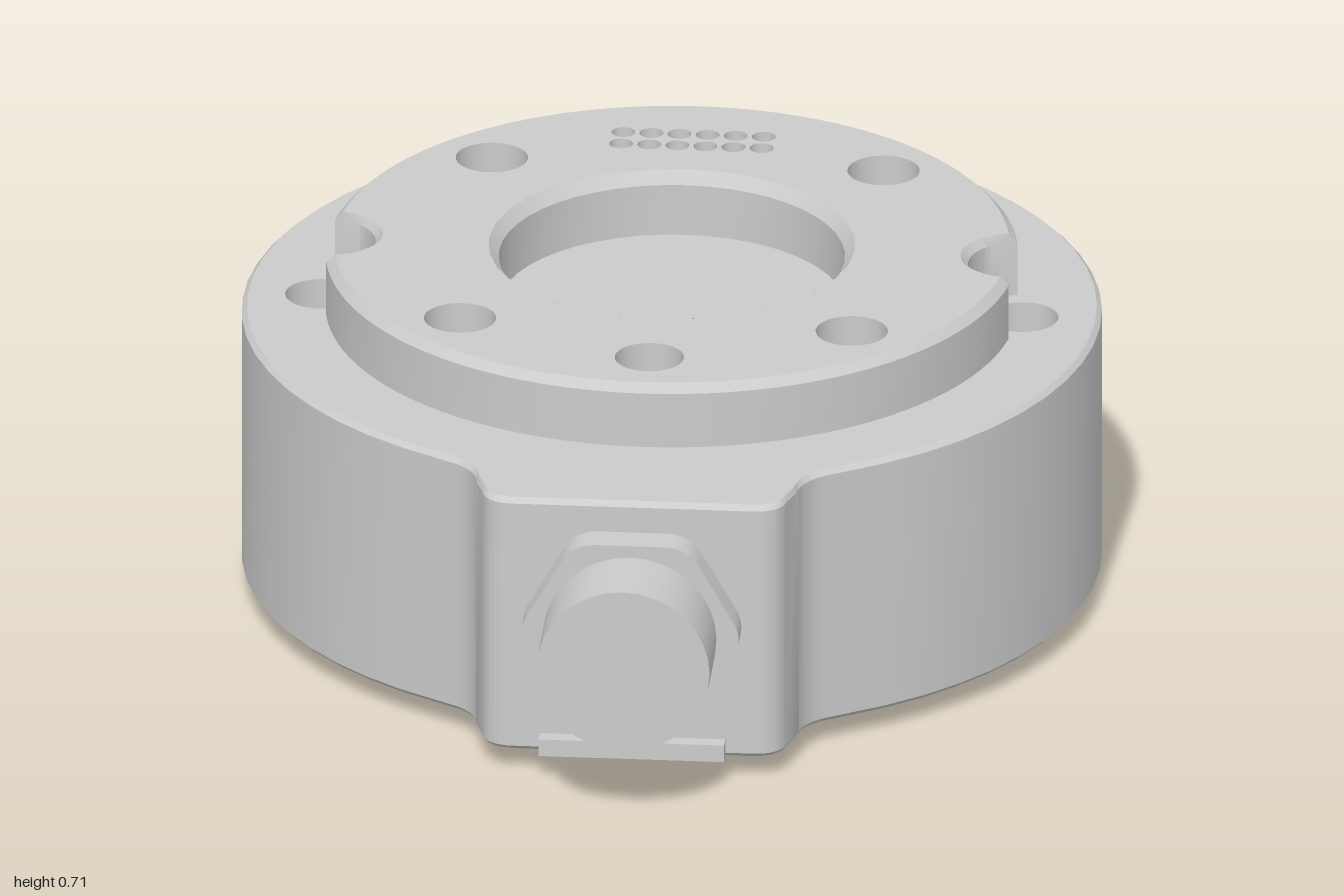
import * as THREE from 'three';
import { toCreasedNormals } from 'three/addons/utils/BufferGeometryUtils.js';

const mat = new THREE.MeshStandardMaterial({ color: 0xcccccc });
const openMat = new THREE.MeshStandardMaterial({ color: 0xcccccc, side: THREE.DoubleSide });
const rad = THREE.MathUtils.degToRad;

export function createModel() {
  const model = new THREE.Group();
  const core = new THREE.Group(); // round parts share one axis
  core.name = 'sensorBody';
  core.position.z = -0.165;
  model.add(core);

  const add = (parent, name, geo, x = 0, y = 0, z = 0, material = mat) => {
    const mesh = new THREE.Mesh(geo, material);
    mesh.name = name;
    mesh.position.set(x, y, z);
    parent.add(mesh);
    return mesh;
  };

  // Wall through scaled copies of an outline; levels are [height, scale]
  function wall(pts, levels) {
    const pos = [], idx = [], n = pts.length;
    for (const [y, s] of levels) for (const p of pts) pos.push(p.x * s, y, -p.y * s);
    for (let l = 0; l < levels.length - 1; l++) {
      for (let i = 0; i < n; i++) {
        const a = l * n + i, b = l * n + (i + 1) % n;
        idx.push(a, b, b + n, a, b + n, a + n);
      }
    }
    const geo = new THREE.BufferGeometry();
    geo.setAttribute('position', new THREE.Float32BufferAttribute(pos, 3));
    geo.setIndex(idx);
    return toCreasedNormals(geo, 0.5);
  }

  // Flat cap with round holes [x, z, radius]
  function cap(pts, s, holes, up = true) {
    const shape = new THREE.Shape(pts.map(p => p.clone().multiplyScalar(s)));
    for (const [x, z, r] of holes) {
      shape.holes.push(new THREE.Path().absarc(x, -z, r, 0, Math.PI * 2, true));
    }
    const geo = new THREE.ShapeGeometry(shape, 16).rotateX(-Math.PI / 2);
    return up ? geo : geo.scale(1, 1, -1).rotateX(Math.PI).scale(1, 1, 1);
  }

  // Blind hole: side wall and floor
  function well(name, x, z, r, top, depth) {
    add(core, name + 'Wall', new THREE.CylinderGeometry(r, r, depth, 32, 1, true), x, top - depth / 2, z, openMat);
    add(core, name + 'Floor', new THREE.CircleGeometry(r, 32).rotateX(-Math.PI / 2), x, top - depth, z);
  }

  function outline(shape) {
    const pts = shape.getPoints(24);
    if (pts[0].distanceTo(pts[pts.length - 1]) < 1e-4) pts.pop();
    return pts;
  }

  // Housing: round with a necked block at the front
  const housing = new THREE.Shape();
  housing.absarc(0, 0, 0.832, rad(-55.6), rad(235.6), false);
  housing.lineTo(-0.36, -0.755);
  housing.quadraticCurveTo(-0.315, -0.785, -0.31, -0.84);
  housing.lineTo(-0.295, -0.885);
  housing.quadraticCurveTo(-0.285, -0.935, -0.23, -0.935);
  housing.lineTo(0.23, -0.935);
  housing.quadraticCurveTo(0.285, -0.935, 0.295, -0.885);
  housing.lineTo(0.31, -0.84);
  housing.quadraticCurveTo(0.315, -0.785, 0.36, -0.755);
  const body = outline(housing);
  const sideHoles = [[-0.68, 0, 0.07], [0.68, 0, 0.07]];
  add(core, 'housingWall', wall(body, [[0.047, 0.988], [0.057, 1], [0.57, 1], [0.58, 0.988]]));
  add(core, 'housingTop', cap(body, 0.988, sideHoles), 0, 0.58);
  // The outline is symmetric in x, so a half turn about z flips it downward
  add(core, 'housingBottom', cap(body, 0.988, []).rotateZ(Math.PI), 0, 0.047);
  for (const [x, z, r] of sideHoles) well('sideHole', x, z, r, 0.58, 0.12);

  // Raised flange with a notch at each side
  const flange = new THREE.Shape();
  flange.absarc(0, 0, 0.67, rad(8.85), rad(171.15), false);
  flange.absarc(-0.68, 0, 0.105, rad(80), rad(-80), true);
  flange.absarc(0, 0, 0.67, rad(188.85), rad(351.15), false);
  flange.absarc(0.68, 0, 0.105, rad(260), rad(100), true);
  const ring = outline(flange);
  const holes = [[0, 0.535, 0.067]];
  for (const x of [-0.38, 0.38]) for (const z of [-0.38, 0.38]) holes.push([x, z, 0.07]);
  const pins = [];
  for (let i = 0; i < 6; i++) {
    for (const z of [-0.52, -0.466]) pins.push([(i - 2.5) * 0.0545, z, 0.023]);
  }
  add(core, 'flangeWall', wall(ring, [[0.58, 1], [0.693, 1], [0.71, 0.975]]));
  add(core, 'flangeTop', cap(ring, 0.975, [[0, 0, 0.355], ...holes, ...pins]), 0, 0.71);
  for (const [x, z, r] of holes) well('screwHole', x, z, r, 0.71, 0.18);
  for (const [x, z, r] of pins) well('pinHole', x, z, r, 0.71, 0.08);

  // Central recess with chamfered rim; the housing top is its floor
  const bore = [[0.335, 0.58], [0.335, 0.685], [0.355, 0.71]].map(p => new THREE.Vector2(...p));
  add(core, 'bore', toCreasedNormals(new THREE.LatheGeometry(bore, 48), 0.5), 0, 0, 0, openMat);

  // Load button underneath
  add(core, 'bottomBoss', new THREE.CylinderGeometry(0.393, 0.393, 0.06, 48), 0, 0.03, 0);

  // Cable connector: rounded hex nut and round plug
  const connector = new THREE.Group();
  connector.name = 'connector';
  connector.position.y = 0.325;
  model.add(connector);
  const corner = i => new THREE.Vector2(Math.cos(i * Math.PI / 3), Math.sin(i * Math.PI / 3)).multiplyScalar(0.222);
  const hex = new THREE.Shape();
  for (let i = 0; i < 6; i++) {
    const c = corner(i);
    const a = c.clone().lerp(corner(i + 5), 0.2), b = c.clone().lerp(corner(i + 1), 0.2);
    if (i) hex.lineTo(a.x, a.y); else hex.moveTo(a.x, a.y);
    hex.quadraticCurveTo(c.x, c.y, b.x, b.y);
  }
  hex.closePath();
  const nut = new THREE.ExtrudeGeometry(hex, { depth: 0.085, bevelEnabled: false, curveSegments: 6 });
  add(connector, 'hexNut', toCreasedNormals(nut, 0.5), 0, 0, 0.75);
  add(connector, 'plug', new THREE.CylinderGeometry(0.168, 0.168, 0.18, 32).rotateX(Math.PI / 2), 0, 0, 0.91);

  // Small lip at the foot of the front block
  add(model, 'frontLip', new THREE.BoxGeometry(0.36, 0.035, 0.05), 0, 0.068, 0.775);
  return model;
}
